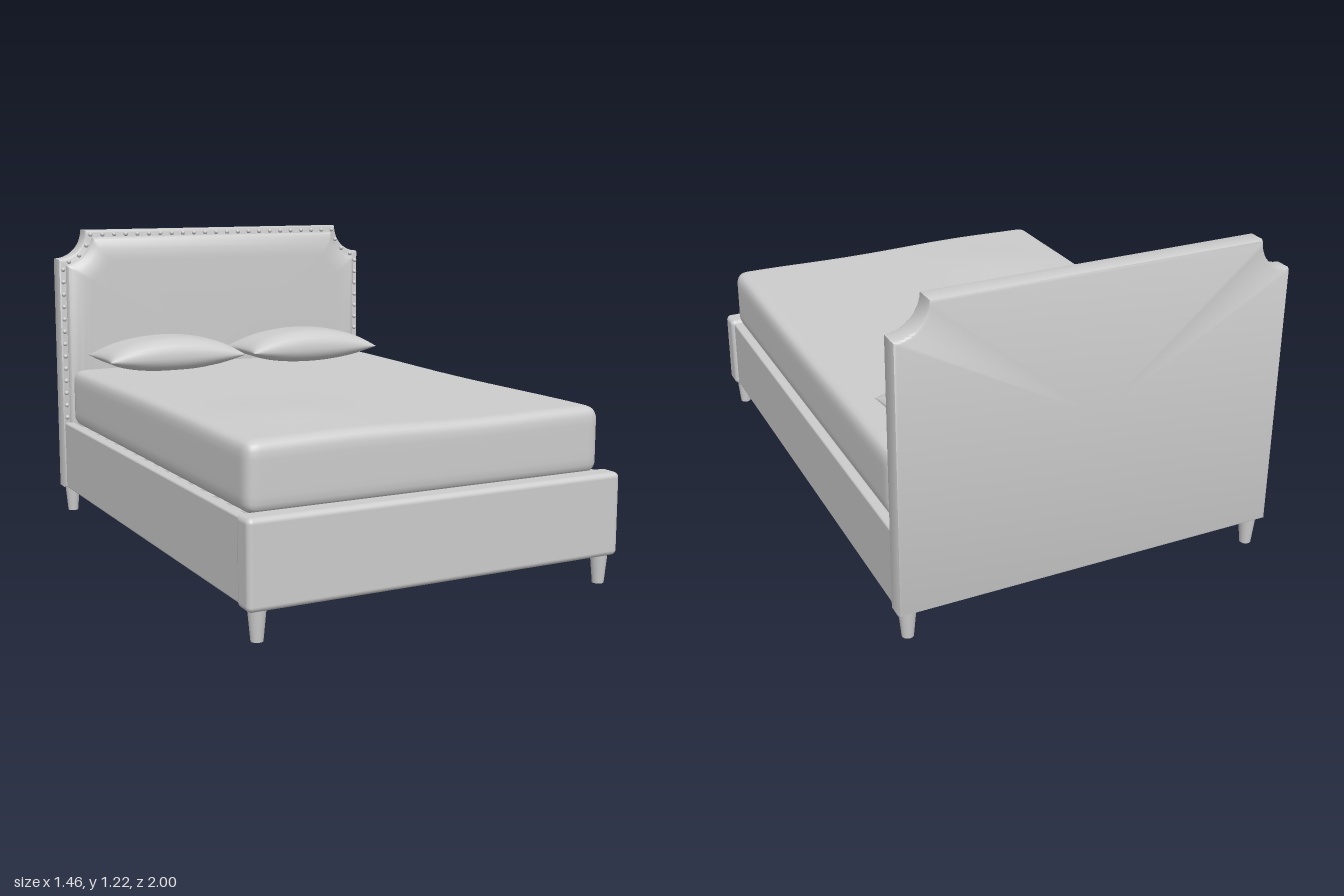
import * as THREE from 'three';
import { mergeVertices, toCreasedNormals } from 'three/addons/utils/BufferGeometryUtils.js';
import { RoundedBoxGeometry } from 'three/addons/geometries/RoundedBoxGeometry.js';

const W = 0.725, TOP = 1.22, NOTCH = 0.12;

// Headboard outline with scooped top corners, counter-clockwise, moved inward by "inset"
function outline(inset, bottom) {
  const r = NOTCH + inset, s = Math.sqrt(r * r - inset * inset);
  const a0 = Math.atan2(-s, -inset), a1 = Math.atan2(-inset, -s);
  const half = [[W - inset, bottom]];
  for (let i = 0; i <= 10; i++) {
    const a = a0 + (a1 - a0) * i / 10;
    half.push([W + r * Math.cos(a), TOP + r * Math.sin(a)]);
  }
  return [...half, ...half.map(([x, y]) => [-x, y]).reverse()];
}

// Skin over rings of [inset, z], closed at both ends by a centre point
function loftOutline(rings, bottom) {
  const pos = [], idx = [];
  let n = 0;
  for (const [inset, z] of rings) {
    const ring = outline(inset, bottom + inset);
    n = ring.length;
    for (const [x, y] of ring) pos.push(x, y, z);
  }
  const last = rings.length - 1, back = pos.length / 3, front = back + 1;
  pos.push(0, 0.7, rings[0][1], 0, 0.7, rings[last][1]);
  for (let i = 0; i < n; i++) {
    const j = (i + 1) % n;
    for (let k = 0; k < last; k++) {
      const a = k * n + i, b = k * n + j;
      idx.push(a, b, a + n, b, b + n, a + n);
    }
    idx.push(back, j, i, front, last * n + i, last * n + j);
  }
  const g = new THREE.BufferGeometry();
  g.setAttribute('position', new THREE.Float32BufferAttribute(pos, 3));
  g.setIndex(idx);
  return toCreasedNormals(g, 0.75);
}

// Box grid whose points are moved by a rule and smoothed; points lie in -1..1, denser at the edges
function shapedBox(nx, ny, nz, rule) {
  let g = new THREE.BoxGeometry(2, 2, 2, nx, ny, nz);
  g.deleteAttribute('normal');
  g.deleteAttribute('uv');
  const p = g.attributes.position, v = new THREE.Vector3();
  const dense = t => Math.sin(t * Math.PI / 2);
  for (let i = 0; i < p.count; i++) {
    v.fromBufferAttribute(p, i);
    v.set(dense(v.x), dense(v.y), dense(v.z));
    rule(v);
    p.setXYZ(i, v.x, v.y, v.z);
  }
  g = mergeVertices(g, 1e-5);
  g.computeVertexNormals();
  return g;
}

export function createModel() {
  const model = new THREE.Group();
  model.name = 'bed';
  const grey = new THREE.MeshStandardMaterial({ color: 0xcccccc });
  grey.name = 'plain grey';

  function add(name, geometry, x = 0, y = 0, z = 0) {
    const mesh = new THREE.Mesh(geometry, grey);
    mesh.name = name;
    mesh.position.set(x, y, z);
    model.add(mesh);
    return mesh;
  }
  const box = (name, w, h, d, x, y, z) => add(name, new THREE.BoxGeometry(w, h, d), x, y, z);

  // Headboard frame and its padded front
  add('headboardFrame', loftOutline(
    [[0.012, -1], [0.004, -0.996], [0, -0.985], [0, -0.93], [0.004, -0.919], [0.012, -0.915]], 0.11));
  add('headboardPadding', loftOutline(
    [[0.03, -0.92], [0.031, -0.908], [0.038, -0.897], [0.055, -0.887], [0.08, -0.878], [0.11, -0.873], [0.13, -0.872]], 0.11));

  // Row of studs around the headboard edge
  const stud = new THREE.SphereGeometry(0.0095, 12, 8);
  const studLine = new THREE.Path(outline(0.018, 0.42).map(([x, y]) => new THREE.Vector2(x, y)));
  for (const p of studLine.getSpacedPoints(54)) add('stud', stud, p.x, p.y, -0.912);

  // Footboard and side rails
  add('footboard', new RoundedBoxGeometry(1.46, 0.305, 0.092, 4, 0.02), 0, 0.2575, 0.954);
  for (const s of [-1, 1]) {
    add('sideRail', new RoundedBoxGeometry(0.04, 0.287, 1.835, 3, 0.008), s * 0.697, 0.2535, 0);
    box('slatLedge', 0.03, 0.03, 1.8, s * 0.663, 0.345, 0);
  }

  // Tapered feet
  const foot = new THREE.CylinderGeometry(0.032, 0.021, 0.115, 24);
  for (const x of [-0.68, 0.68])
    for (const z of [-0.953, 0.955]) add('foot', foot, x, 0.0575, z);

  // Centre beam with two posts, and the slats above
  box('centreBeam', 0.04, 0.03, 1.82, 0, 0.345, 0);
  for (const z of [-0.285, 0.285]) box('centrePost', 0.034, 0.335, 0.027, 0, 0.1675, z);
  for (let i = 0; i < 16; i++) box('slat', 1.35, 0.018, 0.075, 0, 0.369, -0.848 + i * 0.113);

  // Mattress: rounded edges and a faintly rumpled top
  const hx = 0.697, hy = 0.122, hz = 0.896, r = 0.045;
  const core = new THREE.Vector3(hx - r, hy - r, hz - r);
  const inner = new THREE.Vector3();
  const mattress = shapedBox(40, 12, 48, v => {
    v.set(v.x * hx, v.y * hy, v.z * hz);
    inner.copy(v).clamp(core.clone().negate(), core);
    v.sub(inner).setLength(v.lengthSq() > 0 ? r : 0).add(inner);
    if (v.y > 0) {
      const rumple = 0.016 * Math.exp(-(((v.x + 0.38) / 0.22) ** 2) - ((v.z - 0.5) / 0.25) ** 2)
        + 0.003 * Math.sin(v.x * 7 + v.z * 4);
      v.y += rumple * v.y / hy;
    }
  });
  add('mattress', mattress, 0, 0.515, 0.027);

  // Pillows: plump middle, thin seam and drawn-out corners
  const pillow = shapedBox(28, 1, 20, v => {
    const { x: u, z: w } = v;
    const plump = Math.pow(Math.max(0, 1 - u * u), 0.6) * Math.pow(Math.max(0, 1 - w ** 4), 0.5);
    v.x = 0.302 * u * (1 - 0.05 * (1 - w * w) * u * u);
    v.z = 0.15 * w * (1 - 0.06 * (1 - u * u) * w * w);
    v.y = plump * (v.y > 0 ? 0.083 : -0.06);
  });
  for (const s of [-1, 1]) add('pillow', pillow, s * 0.322, 0.693, -0.708);

  return model;
}
